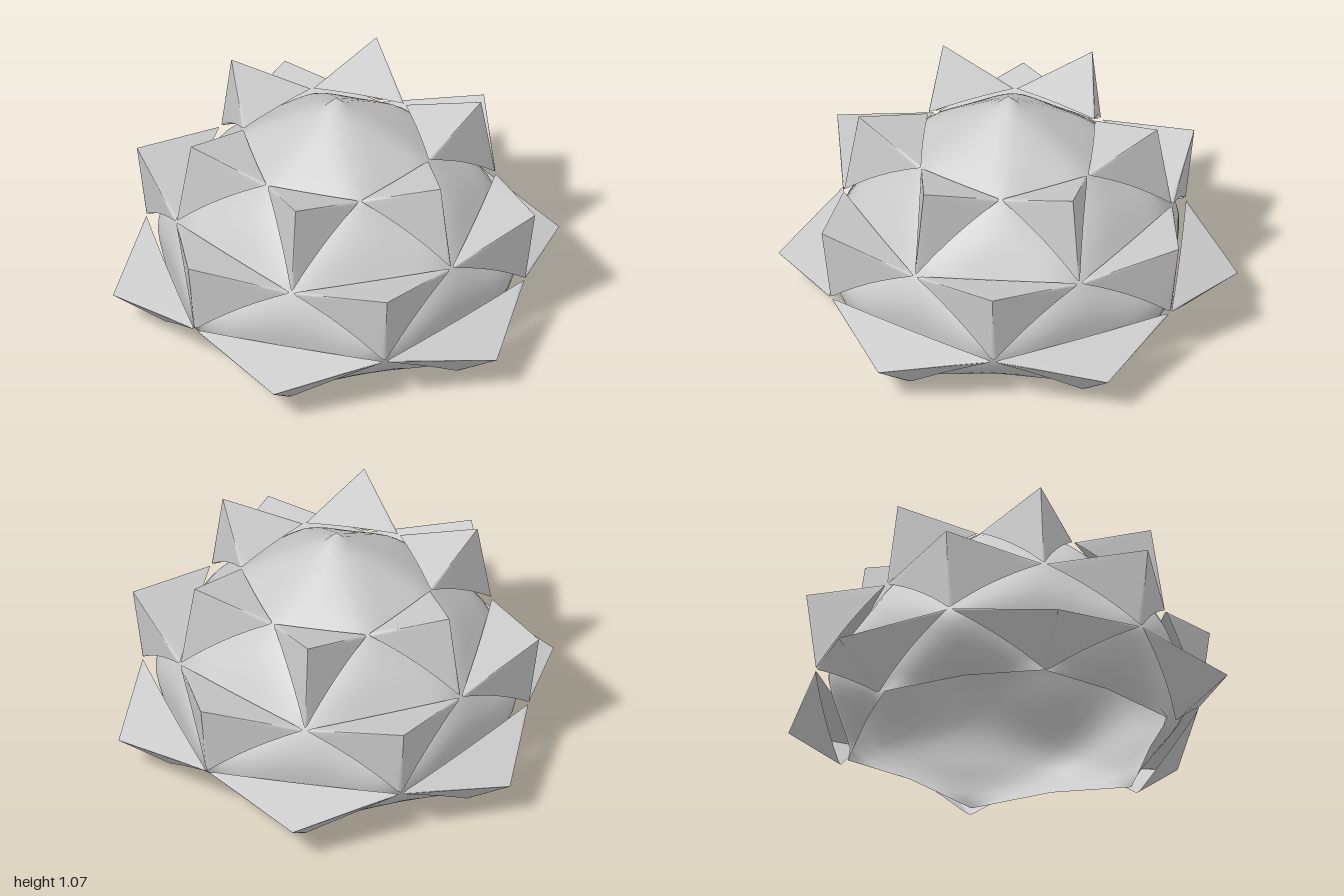
import * as THREE from 'three';
import { mergeGeometries, mergeVertices } from 'three/addons/utils/BufferGeometryUtils.js';

const material = new THREE.MeshStandardMaterial({ color: 0xcccccc, side: THREE.DoubleSide });

// Point at radius r, height y and angle a (degrees) around the vertical axis
const polar = ([r, y], a) => {
  const t = THREE.MathUtils.degToRad(a);
  return new THREE.Vector3(r * Math.cos(t), y, r * Math.sin(t));
};

// Node rings [radius, height], from the crown down to the rim
const CROWN = [0.42, 0.815], UPPER = [0.72, 0.53], LOWER = [0.86, 0.26];
const FOOT = [0.765, -0.008], RIM = [0.73, 0.012];

function mesh(name, geometry) {
  geometry.computeVertexNormals();
  const m = new THREE.Mesh(geometry, material);
  m.name = name;
  return m;
}

// Curved triangular piece of the shell: bulge pushes its middle along the normal,
// sag draws the level edge a-b inward, lift raises that edge to a shallow peak
function panel(a, b, c, bulge, sag, lift = 0) {
  const n = 8, pos = [], index = [];
  const normal = b.clone().sub(a).cross(c.clone().sub(a)).normalize();
  const id = (i, j) => (i * (i + 1)) / 2 + j;
  for (let i = 0; i <= n; i++) {
    for (let j = 0; j <= i; j++) {
      const u = (i - j) / n, v = j / n, w = 1 - i / n;
      const p = new THREE.Vector3().addScaledVector(a, u).addScaledVector(b, v).addScaledVector(c, w);
      p.addScaledVector(normal, bulge * 27 * u * v * w);
      const inward = 1 - sag * 4 * u * v;
      pos.push(p.x * inward, p.y + lift * 2 * Math.min(u, v), p.z * inward);
      if (i < n) {
        index.push(id(i, j), id(i + 1, j), id(i + 1, j + 1));
        if (j < i) index.push(id(i, j), id(i + 1, j + 1), id(i, j + 1));
      }
    }
  }
  const g = new THREE.BufferGeometry();
  g.setAttribute('position', new THREE.Float32BufferAttribute(pos, 3));
  g.setIndex(index);
  return g;
}

// Rounds the joined shell by averaging neighbours; the rim and the apex stay put
function relax(geometry, rounds) {
  const pos = geometry.attributes.position, index = geometry.index.array;
  const around = Array.from({ length: pos.count }, () => new Set());
  for (let i = 0; i < index.length; i += 3) {
    for (let k = 0; k < 3; k++) {
      around[index[i + k]].add(index[i + (k + 1) % 3]).add(index[i + (k + 2) % 3]);
    }
  }
  for (let r = 0; r < rounds; r++) {
    const old = around.map((_, i) => new THREE.Vector3().fromBufferAttribute(pos, i));
    old.forEach((p, i) => {
      if (p.y < 0.04 || p.y > 1.06) return;
      const mean = new THREE.Vector3();
      around[i].forEach(k => mean.addScaledVector(old[k], 1 / around[i].size));
      mean.lerp(p, 0.5);
      pos.setXYZ(i, mean.x, mean.y, mean.z);
    });
  }
  return geometry;
}

// Hollow three-sided point with soft ridges; its open base edges arch toward the tip
function spike(name, corners, tip) {
  const steps = 8, soft = 0.045, loop = [];
  const edges = corners.map((p, k) => {
    const q = corners[(k + 1) % 3];
    const toTip = tip.clone().sub(p.clone().lerp(q, 0.5));
    const arch = k === 0 ? 0.02 : 0.06;
    return Array.from({ length: steps + 1 }, (_, i) => {
      const t = soft + (1 - 2 * soft) * (i / steps);
      return p.clone().lerp(q, t).addScaledVector(toTip, arch * 4 * t * (1 - t));
    });
  });
  edges.forEach((edge, k) => {
    const before = edges[(k + 2) % 3][steps];
    loop.push(before.clone().lerp(edge[0], 0.5).lerp(corners[k], 0.6), ...edge);
  });
  const n = loop.length, pos = [];
  const add = (...ps) => ps.forEach(p => pos.push(p.x, p.y, p.z));
  const near = loop.map(p => p.clone().lerp(tip, 0.97));
  for (let i = 0; i < n; i++) {
    const j = (i + 1) % n;
    add(loop[i], loop[j], near[j], loop[i], near[j], near[i]);
    add(near[i], near[j], tip);
  }
  const g = new THREE.BufferGeometry();
  g.setAttribute('position', new THREE.Float32BufferAttribute(pos, 3));
  return mesh(name, mergeVertices(g, 1e-5));
}

export function createModel() {
  const model = new THREE.Group();
  model.name = 'starDome';
  const shell = [];

  // Pointed cap of the shell
  const apex = new THREE.Vector3(0, 1.07, 0);
  for (let a = 0; a < 360; a += 60) {
    shell.push(panel(polar(CROWN, a + 30), polar(CROWN, a - 30), apex, -0.005, 0.02));
  }

  // Tiers of six: ring of upper corners, lower shell corners, spike foot, tip and starting angle
  const tiers = [
    { name: 'upper', top: CROWN, low: UPPER, foot: UPPER, tip: [0.652, 0.925], start: 0 },
    { name: 'middle', top: UPPER, low: LOWER, foot: LOWER, tip: [0.9, 0.612], start: 30 },
    { name: 'lower', top: LOWER, low: RIM, foot: FOOT, tip: [1.002, 0.18], start: 0 },
  ];
  for (const { name, top, low, foot, tip, start } of tiers) {
    const tier = new THREE.Group();
    tier.name = name + 'Tier';
    const atRim = low === RIM;
    for (let k = 0; k < 6; k++) {
      const a = start + k * 60;
      const left = polar(top, a - 30), right = polar(top, a + 30);
      // Shell under the spike, then shell between two spikes
      shell.push(panel(left, right, polar(low, a), -0.015, 0.02));
      shell.push(panel(polar(low, a + 60), polar(low, a), right, 0.012, atRim ? 0 : 0.02, atRim ? 0.025 : 0));
      tier.add(spike(name + 'Spike', [left, right, polar(foot, a)], polar(tip, a)));
    }
    model.add(tier);
  }

  model.add(mesh('shell', relax(mergeVertices(mergeGeometries(shell), 1e-4), 6)));
  return model;
}
